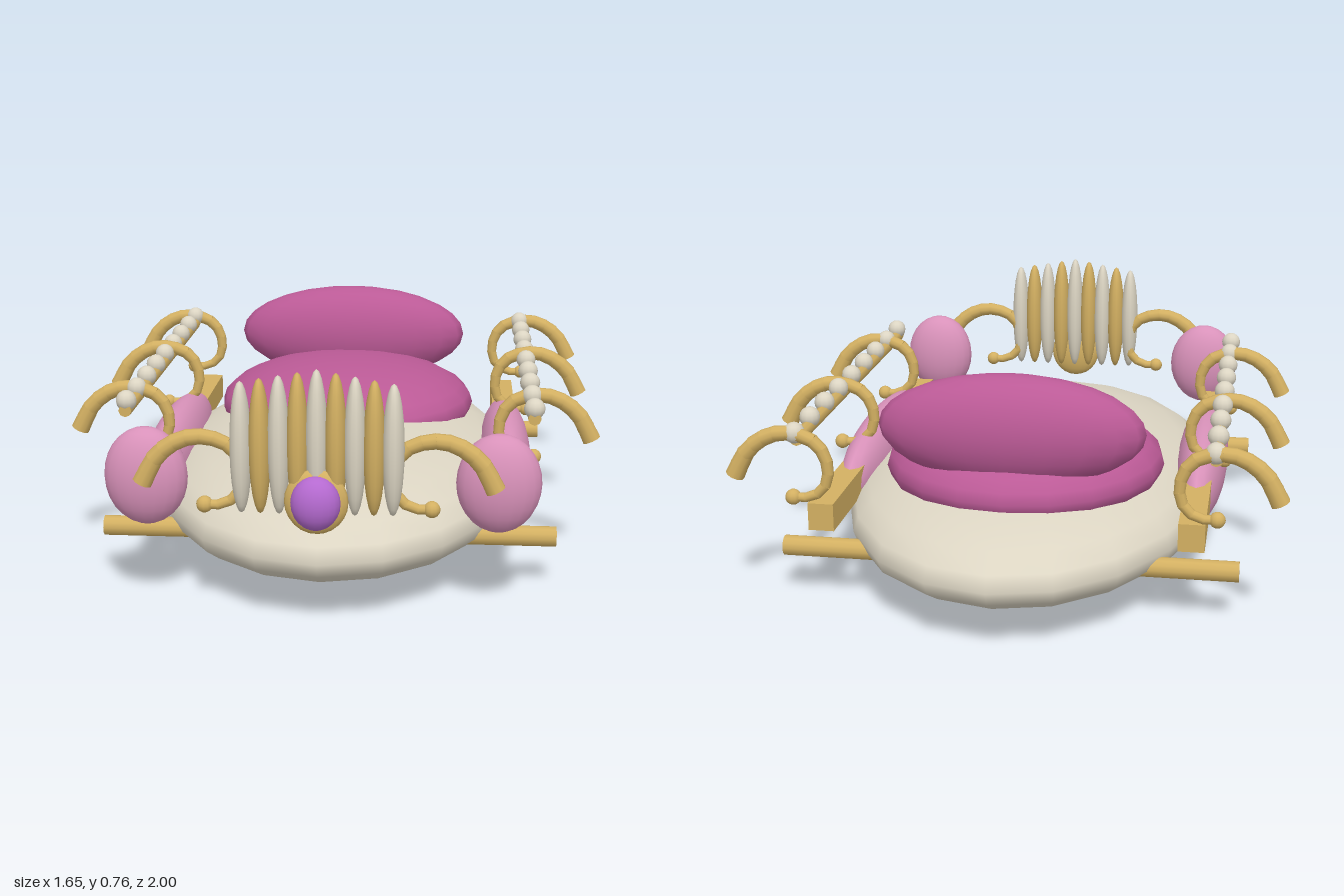
import * as THREE from 'three';

const mat = (name, color) => {
  const m = new THREE.MeshStandardMaterial({ color });
  m.name = name;
  return m;
};

export function createModel() {
  const ivory = mat('ivory', 0xdcd5c3);
  const gold = mat('gold', 0xd3b062);
  const magenta = mat('magenta', 0xbb5a96);
  const pink = mat('pink', 0xd992ba);
  const purple = mat('purple', 0xb56ad0);

  const model = new THREE.Group();
  const add = (name, geometry, material, x, y, z, parent = model) => {
    const mesh = new THREE.Mesh(geometry, material);
    mesh.name = name;
    mesh.position.set(x, y, z);
    parent.add(mesh);
    return mesh;
  };
  // Ellipsoid from a scaled sphere
  const blob = (name, material, pos, radii, w = 20, h = 14) =>
    add(name, new THREE.SphereGeometry(1, w, h).scale(...radii), material, ...pos);

  // Hull and seat
  blob('hull', ivory, [0, 0.2, -0.035], [0.6, 0.2, 0.965], 20, 14);
  blob('seatCushion', magenta, [0, 0.36, -0.285], [0.44, 0.152, 0.447], 20, 14);
  blob('backrest', magenta, [0, 0.542, -0.562], [0.405, 0.17, 0.125], 20, 14);

  // Curling hook of tapering segments, thick end outside, small ball at the inner tip
  const hook = (name, side, cx, z) => {
    const group = new THREE.Group();
    group.name = name;
    const path = new THREE.CatmullRomCurve3([
      [0.185, 0.42], [0.14, 0.5], [0.07, 0.548], [0, 0.555], [-0.07, 0.525],
      [-0.1, 0.455], [-0.085, 0.39], [-0.04, 0.36], [0.01, 0.358],
    ].map(([x, y]) => new THREE.Vector3(side * (cx + x), y, z)));
    const count = 15;
    const pts = path.getSpacedPoints(count);
    const up = new THREE.Vector3(0, 1, 0);
    for (let i = 0; i < count; i++) {
      const dir = pts[i + 1].clone().sub(pts[i]);
      const mid = pts[i].clone().add(pts[i + 1]).multiplyScalar(0.5);
      const r = 0.029 - 0.016 * (i / count);
      const seg = add('hookSegment', new THREE.CylinderGeometry(r * 0.93, r, dir.length() * 1.15, 10),
        gold, mid.x, mid.y, mid.z, group);
      seg.quaternion.setFromUnitVectors(up, dir.normalize());
    }
    const tip = pts[count];
    add('hookTip', new THREE.SphereGeometry(0.024, 12, 8), gold, tip.x, tip.y, tip.z, group);
    model.add(group);
  };

  for (const side of [1, -1]) {
    const label = side > 0 ? 'left' : 'right';
    // Side beam, padded flank and stub feet
    add(label + 'Beam', new THREE.BoxGeometry(0.078, 0.085, 1.36), gold, side * 0.552, 0.287, -0.035);
    blob(label + 'Flank', pink, [side * 0.547, 0.275, 0.03], [0.083, 0.13, 0.482], 20, 14);
    for (const z of [0.53, -0.64]) {
      add(label + 'Foot', new THREE.CylinderGeometry(0.031, 0.031, 0.31, 12).rotateZ(Math.PI / 2),
        gold, side * 0.537, 0.16, z);
    }
    // Handrail with a row of beads
    add(label + 'Rail', new THREE.CylinderGeometry(0.02, 0.02, 1.26, 8).rotateX(Math.PI / 2),
      gold, side * 0.615, 0.53, -0.09);
    for (let i = 0; i < 9; i++) {
      blob(label + 'RailBead', ivory, [side * 0.615, 0.556, 0.515 - i * 0.156], [0.032, 0.032, 0.032], 12, 8);
    }
    // Hooks along the side and one at the prow
    for (const z of [0.355, -0.21, -0.74]) hook(label + 'SideHook', side, 0.615, z);
    hook(label + 'ProwHook', side, 0.31, 0.88);
    // Front lamp
    blob(label + 'Lamp', pink, [side * 0.508, 0.403, 0.768], [0.122, 0.146, 0.075], 20, 14);
  }

  // Ribbed prow grille, tallest in the middle
  for (let i = -4; i <= 4; i++) {
    const k = 1 - Math.abs(i) / 4;
    blob('grilleRib', i % 2 ? gold : ivory, [i * 0.053, 0.533 + 0.017 * k, 0.9],
      [0.031, 0.19 + 0.02 * k, 0.048], 14, 12);
  }

  // Gem in its setting
  blob('gemSetting', gold, [0, 0.388, 0.925], [0.09, 0.094, 0.034], 20, 12);
  blob('gem', purple, [0, 0.39, 0.945], [0.07, 0.078, 0.053], 20, 12);

  return model;
}
